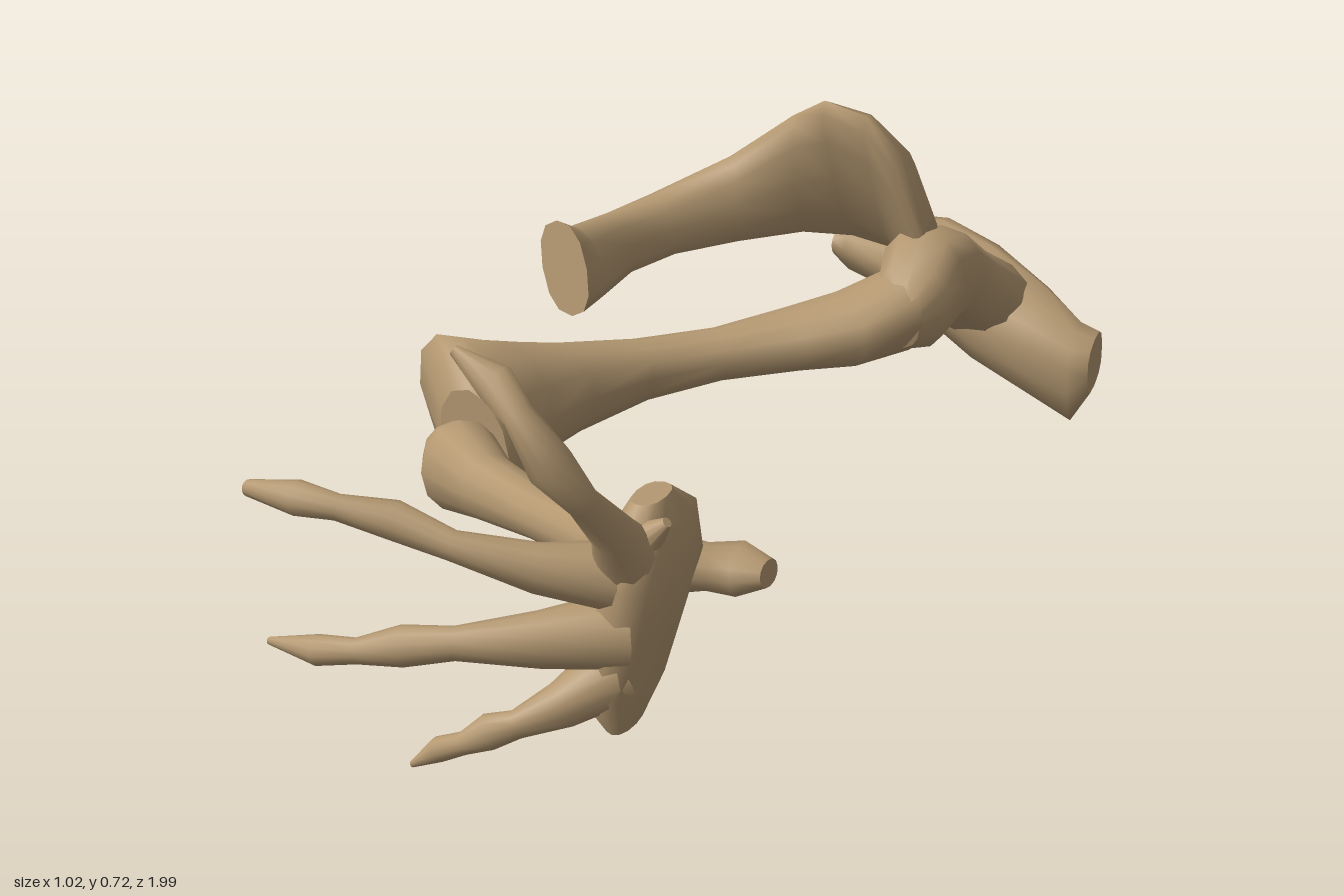
import * as THREE from 'three';

const SIDES = 12;
const V = (x, y, z) => new THREE.Vector3(x, y, z);
const bulge = (s, power) => Math.sign(s) * Math.abs(s) ** power;

// Skin a row of rounded rings { c, u, v } (centre and two half-axes), closed at both ends.
// A lower power makes the rings boxier.
function loft(rings, power) {
  const pos = [], idx = [], n = SIDES;
  for (const { c, u, v } of rings) {
    for (let i = 0; i < n; i++) {
      const a = (i / n) * Math.PI * 2;
      const p = c.clone().addScaledVector(u, bulge(Math.cos(a), power)).addScaledVector(v, bulge(Math.sin(a), power));
      pos.push(p.x, p.y, p.z);
    }
  }
  for (let r = 0; r < rings.length - 1; r++) {
    for (let i = 0; i < n; i++) {
      const a = r * n + i, b = r * n + (i + 1) % n;
      idx.push(a, b, a + n, b, b + n, a + n);
    }
  }
  // End caps with their own vertices, so that the rims stay crisp
  for (const [r, flip] of [[0, true], [rings.length - 1, false]]) {
    const base = pos.length / 3;
    for (let i = 0; i < n; i++) pos.push(...pos.slice((r * n + i) * 3, (r * n + i) * 3 + 3));
    pos.push(...rings[r].c.toArray());
    for (let i = 0; i < n; i++) {
      const a = base + i, b = base + (i + 1) % n;
      idx.push(...(flip ? [b, a, base + n] : [a, b, base + n]));
    }
  }
  // Turn the faces outward if the rings run the other way
  let volume = 0;
  const at = i => V(pos[i * 3], pos[i * 3 + 1], pos[i * 3 + 2]);
  for (let i = 0; i < idx.length; i += 3) volume += at(idx[i]).dot(at(idx[i + 1]).cross(at(idx[i + 2])));
  if (volume < 0) idx.reverse();
  const g = new THREE.BufferGeometry();
  g.setAttribute('position', new THREE.Float32BufferAttribute(pos, 3));
  g.setIndex(idx);
  g.computeVertexNormals();
  return g;
}

// Bone along a path of [x, y, z, half-width, half-height]
function bone(points) {
  const cs = points.map(p => V(p[0], p[1], p[2]));
  return loft(points.map((p, i) => {
    const t = cs[Math.min(i + 1, cs.length - 1)].clone().sub(cs[Math.max(i - 1, 0)]).normalize();
    const u = t.clone().cross(V(0, 1, 0)).normalize();
    const v = u.clone().cross(t);
    return { c: cs[i], u: u.multiplyScalar(p[3]), v: v.multiplyScalar(p[4] ?? p[3]) };
  }), 0.95);
}

// Shaped bone from sections [centre, half-axis, half-axis]
const sections = (rows, power = 0.85) =>
  loft(rows.map(([c, u, v]) => ({ c: V(...c), u: V(...u), v: V(...v) })), power);

export function createModel() {
  const model = new THREE.Group();
  const boneTan = new THREE.MeshStandardMaterial({ color: 0xb49871 });
  boneTan.name = 'boneTan';
  const add = (name, geometry, parent = model) => {
    const m = new THREE.Mesh(geometry, boneTan);
    m.name = name;
    parent.add(m);
  };

  // Shoulder blade: narrow strap that curves inward and widens to a tall leaning plate
  add('shoulderBlade', sections([
    [[-0.325, 0.462, -0.045], [0.055, 0.01, 0.014], [-0.025, 0.085, -0.02]],
    [[-0.318, 0.455, -0.1], [0.046, 0.01, 0], [-0.025, 0.07, 0]],
    [[-0.312, 0.455, -0.22], [0.042, 0.01, 0.01], [-0.02, 0.06, 0]],
    [[-0.275, 0.46, -0.36], [0.038, 0, 0.025], [-0.015, 0.06, 0]],
    [[-0.175, 0.49, -0.485], [0.03, 0, 0.05], [-0.01, 0.085, -0.01]],
    [[-0.06, 0.54, -0.54], [0.012, 0, 0.045], [0, 0.13, 0.03]],
    [[0.03, 0.56, -0.545], [0, -0.015, 0.035], [-0.01, 0.158, 0.07]],
    [[0.11, 0.54, -0.56], [0, -0.025, 0.035], [0, 0.16, 0.095]],
    [[0.17, 0.475, -0.575], [0, -0.03, 0.05], [0.01, 0.145, 0.085]],
    [[0.22, 0.4, -0.57], [0, -0.02, 0.04], [0, 0.08, 0.035]],
  ]));

  // Socket and neck joining blade, upper arm and rear plate
  add('shoulderNeck', sections([
    [[0.23, 0.31, -0.39], [0.025, 0, -0.015], [0, 0.04, 0]],
    [[0.22, 0.33, -0.45], [0.075, 0, -0.01], [0, 0.085, 0]],
    [[0.215, 0.36, -0.53], [0.09, 0, 0], [0, 0.105, 0.01]],
    [[0.215, 0.355, -0.61], [0.095, 0, 0], [0, 0.09, -0.02]],
    [[0.22, 0.3, -0.7], [0.105, 0, 0], [0, 0.075, -0.035]],
    [[0.22, 0.255, -0.79], [0.15, -0.025, 0], [0, 0.07, -0.06]],
    [[0.2, 0.22, -0.83], [0.12, -0.02, 0], [0, 0.05, -0.04]],
  ]));

  // Rear plate, slanting down toward its outer end
  add('rearPlate', sections([
    [[-0.08, 0.315, -0.83], [0, 0.025, 0.02], [0, 0.02, -0.045]],
    [[-0.05, 0.305, -0.855], [0, 0.045, 0.025], [0, 0.025, -0.075]],
    [[0.03, 0.285, -0.88], [0, 0.055, 0.03], [0, 0.03, -0.1]],
    [[0.12, 0.265, -0.875], [0, 0.07, 0.035], [0, 0.045, -0.115]],
    [[0.25, 0.22, -0.83], [0, 0.085, 0.035], [0, 0.055, -0.11]],
    [[0.38, 0.165, -0.795], [0, 0.095, 0.03], [0, 0.045, -0.085]],
    [[0.47, 0.12, -0.77], [0, 0.095, 0.02], [0, 0.03, -0.06]],
    [[0.508, 0.145, -0.775], [0, 0.055, 0.01], [0, 0.02, -0.05]],
  ], 0.75));

  // Upper arm, flaring to a broad elbow end
  add('upperArm', sections([
    [[0.19, 0.32, -0.46], [0.07, 0, 0.055], [0, 0.08, 0]],
    [[0.11, 0.292, -0.385], [0.07, 0, 0.07], [0, 0.068, 0]],
    [[0.025, 0.28, -0.32], [0.058, 0, 0.063], [0, 0.057, 0]],
    [[-0.09, 0.265, -0.22], [0.038, 0, 0.042], [0, 0.05, 0]],
    [[-0.2, 0.255, -0.11], [0.045, 0, 0.035], [0, 0.06, 0]],
    [[-0.305, 0.245, 0.01], [0.08, 0, 0.02], [0, 0.09, 0]],
    [[-0.36, 0.25, 0.12], [0.1, -0.015, 0.01], [0, 0.118, 0]],
    [[-0.39, 0.25, 0.19], [0.122, -0.03, 0.01], [-0.01, 0.145, 0.01]],
    [[-0.345, 0.215, 0.27], [0.075, -0.01, 0.005], [-0.01, 0.113, -0.005]],
  ], 0.95));

  // Forearm: two slim bones side by side
  add('upperForearmBone', bone([
    [-0.385, 0.21, 0.28, 0.055, 0.06],
    [-0.345, 0.205, 0.32, 0.075, 0.088],
    [-0.25, 0.21, 0.385, 0.055, 0.06],
    [-0.1, 0.23, 0.475, 0.043, 0.045],
    [0.05, 0.26, 0.57, 0.045, 0.045],
    [0.15, 0.29, 0.635, 0.06, 0.06],
    [0.21, 0.31, 0.68, 0.045, 0.05],
  ]));
  add('lowerForearmBone', bone([
    [-0.275, 0.122, 0.225, 0.035, 0.022],
    [-0.23, 0.127, 0.265, 0.045, 0.037],
    [-0.12, 0.15, 0.38, 0.027, 0.025],
    [0.02, 0.163, 0.53, 0.03, 0.025],
    [0.12, 0.167, 0.63, 0.05, 0.038],
    [0.17, 0.17, 0.69, 0.04, 0.035],
  ]));

  // Hand: palm, wrist knob, spur and four jointed fingers
  const hand = new THREE.Group();
  hand.name = 'hand';
  model.add(hand);
  add('palm', sections([
    [[0.215, 0.075, 0.78], [0.02, 0, 0], [0, 0, 0.045]],
    [[0.2, 0.14, 0.765], [0.06, 0, 0], [0, 0, 0.085]],
    [[0.215, 0.24, 0.735], [0.065, 0, -0.01], [0.01, 0, 0.105]],
    [[0.235, 0.33, 0.725], [0.065, 0, -0.01], [0.01, 0, 0.12]],
    [[0.24, 0.4, 0.725], [0.05, 0, 0], [0, 0, 0.105]],
    [[0.24, 0.445, 0.73], [0.025, 0, 0], [0, 0, 0.045]],
  ]), hand);
  add('wristKnob', bone([
    [0.2, 0.29, 0.66, 0.06, 0.05],
    [0.28, 0.28, 0.62, 0.045, 0.035],
    [0.33, 0.28, 0.605, 0.055, 0.04],
    [0.38, 0.285, 0.61, 0.028, 0.022],
  ]), hand);
  add('palmSpur', bone([[0.22, 0.36, 0.78, 0.05], [0.295, 0.435, 0.79, 0.008]]), hand);

  const fingers = [
    [[0.23, 0.36, 0.79, 0.055], [0.235, 0.43, 0.845, 0.034], [0.215, 0.5, 0.9, 0.025], [0.19, 0.57, 0.945, 0.036],
      [0.14, 0.635, 0.94, 0.024], [0.09, 0.67, 0.92, 0.03], [0.025, 0.708, 0.92, 0.008]],
    [[0.22, 0.33, 0.79, 0.055], [0.12, 0.36, 0.87, 0.038], [0, 0.39, 0.91, 0.023], [-0.09, 0.42, 0.925, 0.03],
      [-0.17, 0.435, 0.95, 0.02], [-0.23, 0.445, 0.965, 0.027], [-0.33, 0.435, 0.95, 0.013]],
    [[0.22, 0.24, 0.79, 0.06], [0.12, 0.24, 0.87, 0.043], [0, 0.228, 0.915, 0.026], [-0.08, 0.215, 0.935, 0.032],
      [-0.15, 0.2, 0.955, 0.02], [-0.21, 0.195, 0.97, 0.024], [-0.31, 0.18, 0.955, 0.006]],
    [[0.21, 0.17, 0.79, 0.055], [0.15, 0.13, 0.86, 0.036], [0.09, 0.1, 0.895, 0.022], [0.05, 0.085, 0.91, 0.028],
      [0.01, 0.06, 0.92, 0.018], [-0.03, 0.042, 0.925, 0.02], [-0.078, 0.005, 0.93, 0.005]],
  ];
  fingers.forEach((path, i) => add('finger' + (i + 1), bone(path), hand));

  return model;
}
